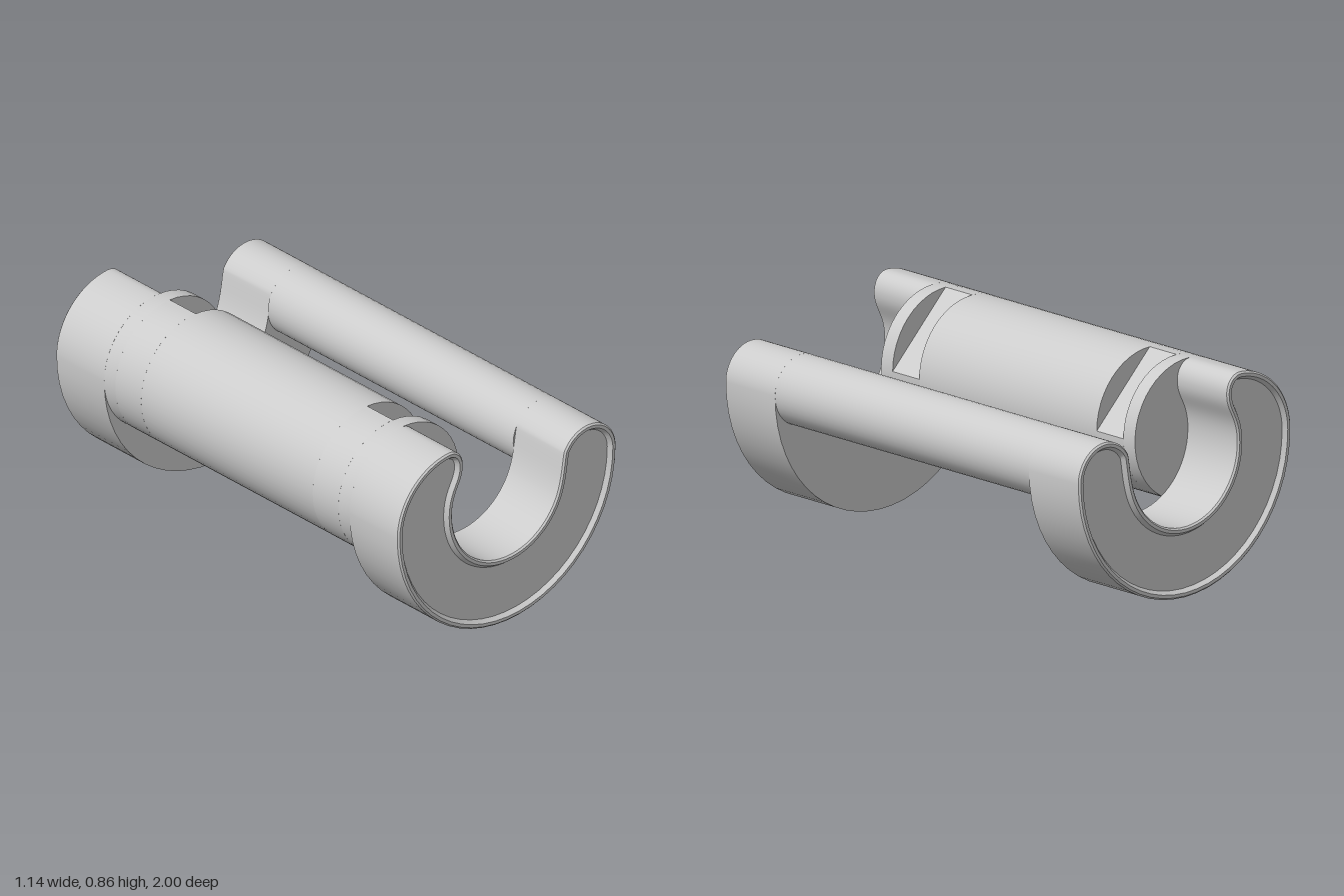
import * as THREE from 'three';
import { toCreasedNormals } from 'three/addons/utils/BufferGeometryUtils.js';

const CY = 0.57;        // height of the shared axis line
const INNER_Z = 0.715;  // inner face of the end plates

// Hooked crescent outline, counter-clockwise
function crescentPoints() {
  const s = new THREE.Shape();
  s.moveTo(-0.57, CY);
  s.absarc(0, CY, 0.57, Math.PI, 2 * Math.PI, false);               // outer belly
  s.absarc(0.4275, CY, 0.1425, 0, Math.PI * 0.84, false);           // small tip
  s.bezierCurveTo(0.292, 0.6, 0.29, 0.52, 0.258, 0.449);
  s.absarc(0, CY, 0.285, -0.44, -Math.PI, true);                    // inner bowl
  s.bezierCurveTo(-0.285, 0.68, -0.228, 0.7, -0.228, 0.775);        // S-curve to large tip
  s.bezierCurveTo(-0.228, 0.825, -0.262, 0.855, -0.3, 0.8546);
  s.absarc(-0.285, CY, 0.285, Math.PI * 0.52, Math.PI, false);
  const pts = s.getPoints(14);
  return pts.filter((p, i) => p.distanceTo(pts[(i + 1) % pts.length]) > 0.004);
}

// Moves a closed counter-clockwise outline inwards
function inset(pts, d) {
  const n = pts.length;
  return pts.map((p, i) => {
    const t = pts[(i + 1) % n].clone().sub(pts[(i + n - 1) % n]).normalize();
    return new THREE.Vector2(p.x - t.y * d, p.y + t.x * d);
  });
}

// End plate with a chamfered rim and a shallow sunken face; side is +1 or -1 in z
function endPlateGeometry(side) {
  const base = crescentPoints();
  const n = base.length;
  const steps = [[0, INNER_Z], [0, 0.993], [0.007, 1], [0.02, 1], [0.033, 0.982]];
  const rows = steps.map(([d, z]) => inset(base, d).map(p => new THREE.Vector3(p.x, p.y, z * side)));
  const pos = [];
  const tri = (a, b, c) => {
    for (const v of side > 0 ? [a, b, c] : [a, c, b]) pos.push(v.x, v.y, v.z);
  };
  for (let r = 0; r < rows.length - 1; r++) {
    for (let i = 0; i < n; i++) {
      const j = (i + 1) % n;
      const [a, b, c, d] = [rows[r][i], rows[r][j], rows[r + 1][j], rows[r + 1][i]];
      tri(a, b, c);
      tri(a, c, d);
    }
  }
  // Flat inner face and sunken outer face
  const first = rows[0], last = rows[rows.length - 1];
  const faces = row => THREE.ShapeUtils.triangulateShape(row.map(v => new THREE.Vector2(v.x, v.y)), []);
  for (const [a, b, c] of faces(last)) tri(last[a], last[b], last[c]);
  for (const [a, b, c] of faces(first)) tri(first[a], first[c], first[b]);
  const g = new THREE.BufferGeometry();
  g.setAttribute('position', new THREE.Float32BufferAttribute(pos, 3));
  return toCreasedNormals(g, 0.55);
}

export function createModel() {
  const group = new THREE.Group();
  const material = new THREE.MeshStandardMaterial({ color: 0xcccccc });
  const add = (name, geometry) => {
    const mesh = new THREE.Mesh(geometry, material);
    mesh.name = name;
    group.add(mesh);
    return mesh;
  };

  add('frontEndPlate', endPlateGeometry(1));
  add('backEndPlate', endPlateGeometry(-1));

  // Large drum: full discs alternating with slices missing the upper inner quarter
  const full = new THREE.Shape().absarc(0, 0, 0.285, 0, Math.PI * 2, false);
  const notched = new THREE.Shape();
  notched.moveTo(0, 0);
  notched.absarc(0, 0, 0.285, Math.PI / 2, Math.PI * 2, false);
  const slices = [
    ['drumBackFlange', full, -INNER_Z, -0.65],
    ['drumBackSlot', notched, -0.65, -0.5],
    ['drumBody', full, -0.5, 0.5],
    ['drumFrontSlot', notched, 0.5, 0.65],
    ['drumFrontFlange', full, 0.65, INNER_Z],
  ];
  for (const [name, shape, z0, z1] of slices) {
    const g = new THREE.ExtrudeGeometry(shape, { depth: z1 - z0, bevelEnabled: false, curveSegments: 24 });
    add(name, toCreasedNormals(g, 0.55)).position.set(-0.285, CY, z0);
  }

  // Slim bar joining the small tips
  const bar = new THREE.CylinderGeometry(0.1425, 0.1425, 2 * INNER_Z, 40).rotateX(Math.PI / 2);
  add('sideBar', bar).position.set(0.4275, CY, 0);

  return group;
}
